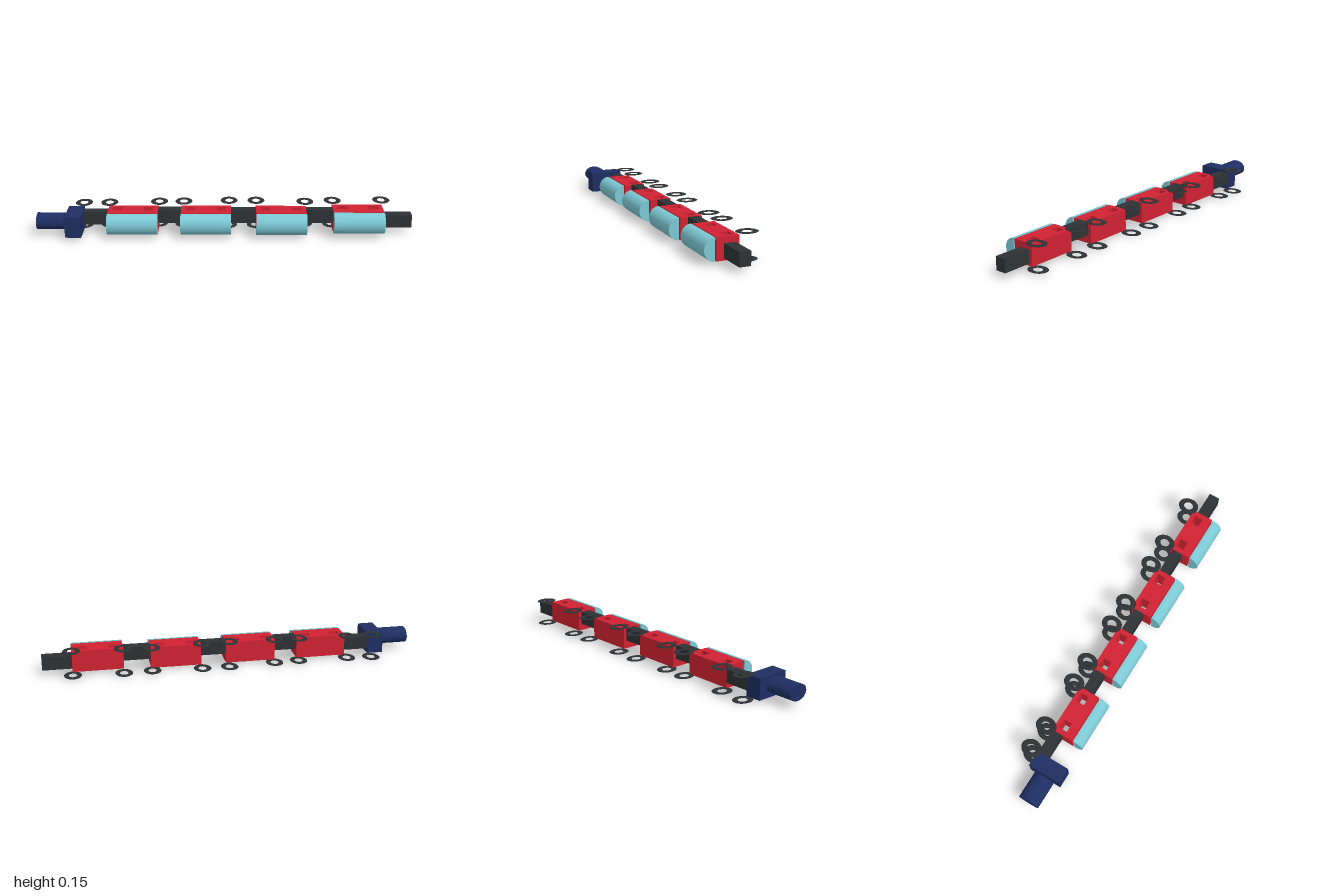
import * as THREE from 'three';

const mat = (color, side = THREE.FrontSide) => new THREE.MeshStandardMaterial({ color, side });

export function createModel() {
  const model = new THREE.Group();
  const red = mat(0xd02232), cyan = mat(0x7cc8d4, THREE.DoubleSide), navy = mat(0x1e2e62), dark = mat(0x2e3234);

  const add = (name, geometry, material, x = 0, y = 0, z = 0) => {
    const mesh = new THREE.Mesh(geometry, material);
    mesh.name = name;
    mesh.position.set(x, y, z);
    model.add(mesh);
    return mesh;
  };
  // box given by its limits on each axis
  const boxBetween = (name, material, [x0, x1], [y0, y1], [z0, z1]) =>
    add(name, new THREE.BoxGeometry(x1 - x0, y1 - y0, z1 - z0), material,
      (x0 + x1) / 2, (y0 + y1) / 2, (z0 + z1) / 2);

  const rect = (target, x0, x1, z0, z1) => {
    target.moveTo(x0, -z1);
    target.lineTo(x1, -z1);
    target.lineTo(x1, -z0);
    target.lineTo(x0, -z0);
    target.closePath();
    return target;
  };

  // red body with two square holes running through from top to bottom
  const half = 0.134, height = 0.115;
  const outline = rect(new THREE.Shape(), -half, half, -0.043, 0.073);
  for (const s of [-1, 1]) {
    outline.holes.push(rect(new THREE.Path(), s * 0.083 - 0.025, s * 0.083 + 0.025, -0.02, 0.027));
  }
  const bodyGeo = new THREE.ExtrudeGeometry(outline, { depth: height, bevelEnabled: false });
  bodyGeo.rotateX(-Math.PI / 2);

  // half-round front cover, closed at the ends and along the flat back
  const arch = new THREE.Shape();
  arch.absellipse(0, 0, 0.055, height / 2, -Math.PI / 2, Math.PI / 2);
  arch.closePath();
  const coverGeo = new THREE.ExtrudeGeometry(arch, { depth: 2 * half, bevelEnabled: false, curveSegments: 24 });
  coverGeo.translate(0, 0, -half);
  coverGeo.rotateY(-Math.PI / 2);

  // segments: centre x and underside y
  for (const [x, y] of [[-0.492, 0.013], [-0.102, 0.013], [0.3, 0.013], [0.711, 0.02]]) {
    add('segmentBody', bodyGeo, red, x, y, 0);
    add('segmentCover', coverGeo, cyan, x, y + height / 2, 0.08);
  }

  // bars joining the segments
  boxBetween('firstBar', dark, [-0.762, -0.626], [0.041, 0.111], [-0.045, 0.012]);
  boxBetween('linkBar', dark, [-0.358, -0.236], [0.058, 0.13], [-0.024, 0.032]);
  boxBetween('linkBar', dark, [0.032, 0.166], [0.057, 0.129], [-0.024, 0.032]);
  boxBetween('linkBar', dark, [0.434, 0.577], [0.057, 0.129], [-0.024, 0.032]);
  boxBetween('endBar', dark, [0.845, 1], [0.032, 0.103], [-0.024, 0.035]);

  // head block and its oval nose
  boxBetween('headBlock', navy, [-0.845, -0.76], [0.013, 0.125], [-0.045, 0.134]);
  const nose = new THREE.CylinderGeometry(1, 1, 0.145, 32);
  nose.rotateZ(Math.PI / 2);
  nose.scale(1, 0.042, 0.057);
  add('nose', nose, navy, -0.9275, 0.077, 0.048);

  // flat oval rings above and below, behind the body
  const ringGeo = new THREE.TorusGeometry(0.041, 0.015, 8, 32);
  ringGeo.rotateX(Math.PI / 2);
  ringGeo.scale(0.82, 0.18, 1);
  const rings = [ // x, upper y, lower y
    [-0.766, 0.133, 0.005], [-0.628, 0.134, 0.01], [-0.357, 0.14, 0.013],
    [-0.224, 0.141, 0.011], [0.022, 0.146, 0.005], [0.168, 0.146, 0.006],
    [0.434, 0.14, 0.013], [0.583, 0.146, 0.01], [0.847, 0.149, 0.016],
  ];
  for (const [x, top, bottom] of rings) {
    add('upperRing', ringGeo, dark, x, top, -0.08);
    add('lowerRing', ringGeo, dark, x - 0.003, bottom, -0.08);
  }
  return model;
}
